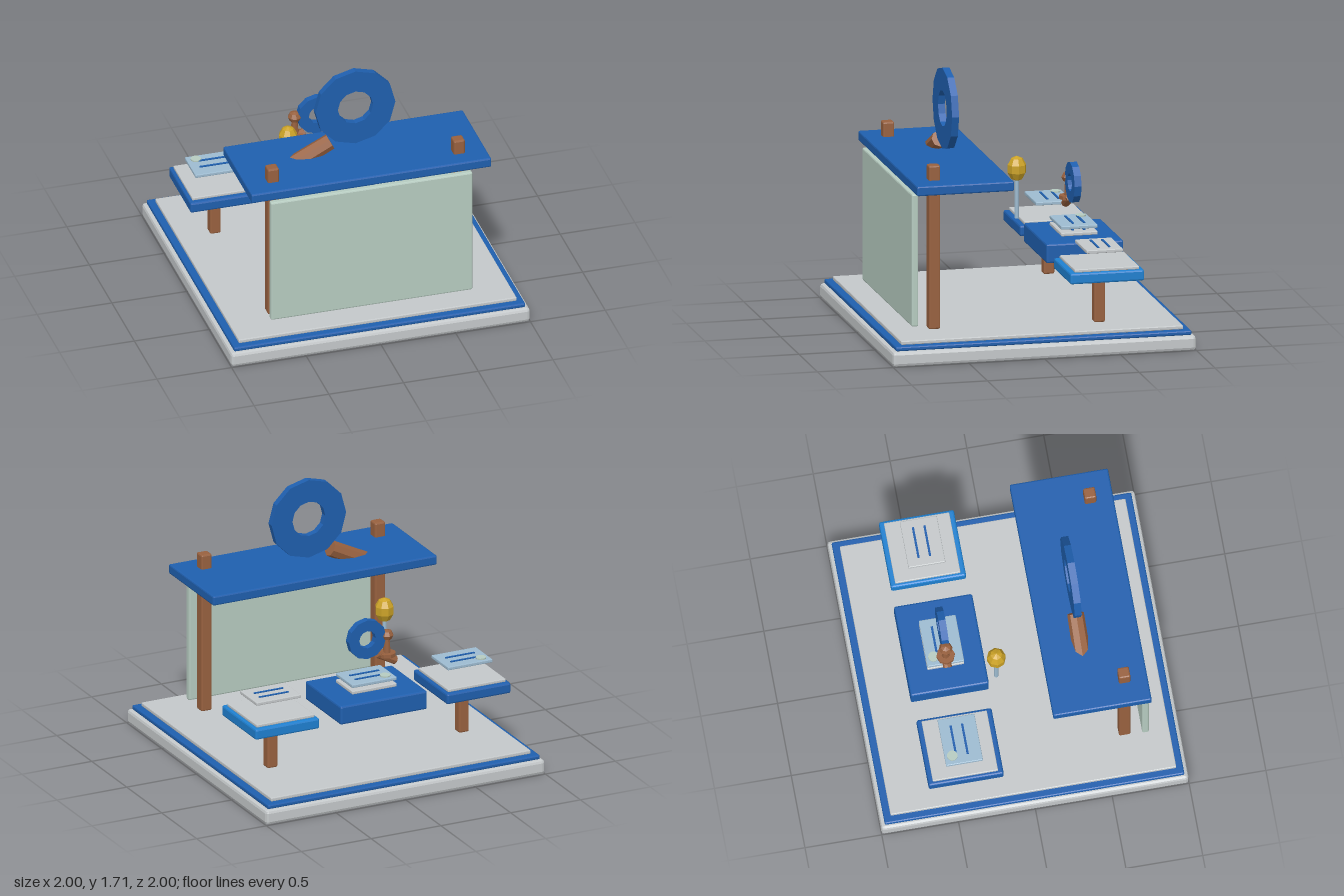
import * as THREE from 'three';
import { RoundedBoxGeometry } from 'three/addons/geometries/RoundedBoxGeometry.js';

const mat = (name, color) => {
  const m = new THREE.MeshStandardMaterial({ color });
  m.name = name;
  return m;
};

export function createModel() {
  const grey = mat('pale grey', 0xc4c8ca);
  const blue = mat('deep blue', 0x1f5fae);
  const brightBlue = mat('bright blue', 0x1f80d0);
  const wood = mat('brown wood', 0x98613f);
  const green = mat('pale green', 0xb6cbc0);
  const glass = mat('pale blue', 0x9dbbd0);
  const gold = mat('gold', 0xcba227);

  const root = new THREE.Group();
  root.name = 'exhibitBooth';

  // Faceted mesh helper
  const add = (name, geometry, material, x, y, z, parent = root) => {
    const g = geometry.index ? geometry.toNonIndexed() : geometry;
    g.computeVertexNormals();
    const mesh = new THREE.Mesh(g, material);
    mesh.name = name;
    mesh.position.set(x, y, z);
    parent.add(mesh);
    return mesh;
  };
  // Chamfered box, placed by its bottom and top heights
  const block = (name, material, w, d, y0, y1, x, z, bevel = 0.01, parent = root) =>
    add(name, new RoundedBoxGeometry(w, y1 - y0, d, 1, Math.min(bevel, (y1 - y0) * 0.3, w * 0.3, d * 0.3)),
      material, x, (y0 + y1) / 2, z, parent);

  // Stepped plinth
  block('base', grey, 2, 2, 0, 0.097, 0, 0, 0.02);
  block('baseTrim', blue, 1.95, 1.95, 0.097, 0.127, 0, 0);
  block('floor', grey, 1.86, 1.86, 0.127, 0.153, 0, 0, 0.006);

  // Front counter panel, posts and roof
  block('frontPanel', green, 1.35, 0.044, 0.18, 1.052, 0, 0.776);
  for (const s of [-1, 1]) block('roofPost', wood, 0.075, 0.075, 0.153, 1.23, s * 0.622, 0.643);
  block('roof', blue, 1.605, 0.64, 1.068, 1.133, 0, 0.473);

  // Magnifier: twelve-sided ring with an angled handle
  const ringPoints = (r) => Array.from({ length: 12 }, (_, i) =>
    new THREE.Vector2(r * Math.cos(i * Math.PI / 6), r * Math.sin(i * Math.PI / 6)));
  const magnifier = (name, s, x, y, z) => {
    const group = new THREE.Group();
    group.name = name;
    group.position.set(x, y, z);
    const shape = new THREE.Shape(ringPoints(0.267 * s));
    shape.holes.push(new THREE.Path(ringPoints(0.118 * s)));
    add('lensRing', new THREE.ExtrudeGeometry(shape, { depth: 0.046, bevelEnabled: false }),
      blue, 0, 0, -0.023, group);
    const handle = add('lensHandle', new THREE.CylinderGeometry(0.054 * s, 0.057 * s, 0.285 * s, 8),
      wood, -0.29 * s, -0.303 * s, 0, group);
    handle.rotation.z = -1.1;
    root.add(group);
  };
  magnifier('roofMagnifier', 1, 0, 1.445, 0.41);
  magnifier('deskMagnifier', 0.5, 0, 0.91, -0.43);

  // Card with two printed lines and an optional round seal
  const card = (name, material, x, y, seal) => {
    block(name, material, 0.32, 0.24, y, y + 0.023, x, -0.433, 0.005);
    for (const z of [-0.478, -0.403])
      add('printedLine', new THREE.BoxGeometry(0.21, 0.006, 0.014), blue, x, y + 0.026, z);
    if (seal) add('seal', new THREE.CylinderGeometry(0.035, 0.035, 0.009, 10), green, x - 0.1, y + 0.0275, -0.503);
  };

  // Side stands
  for (const s of [-1, 1]) {
    const x = s * 0.686;
    block('standLeg', wood, 0.072, 0.072, 0.153, 0.465, x, -0.43);
    block('standTray', s > 0 ? brightBlue : blue, 0.458, 0.488, 0.458, 0.53, x, -0.434, 0.012);
    block('standTop', grey, 0.415, 0.425, 0.53, 0.551, x, -0.436, 0.005);
    card('standCard', s > 0 ? grey : glass, x, 0.638, s < 0);
  }

  // Centre desk with two stacked cards
  block('deskTray', blue, 0.622, 0.508, 0.458, 0.585, 0, -0.433, 0.012);
  card('lowerCard', grey, 0, 0.594, false);
  card('upperCard', glass, 0, 0.638, true);

  // Hand stamp
  const stamp = new THREE.Group();
  stamp.name = 'handStamp';
  stamp.position.set(-0.147, 0, -0.432);
  root.add(stamp);
  add('stampFoot', new THREE.CylinderGeometry(0.06, 0.06, 0.024, 8), wood, 0, 0.78, 0, stamp);
  add('stampStem', new THREE.CylinderGeometry(0.02, 0.026, 0.11, 8), wood, 0, 0.845, 0, stamp);
  add('stampKnob', new THREE.SphereGeometry(0.045, 8, 4), wood, 0, 0.912, 0, stamp).scale.y = 0.85;

  // Microphone-like wand: slim stick and faceted head
  add('wandStick', new THREE.CylinderGeometry(0.014, 0.014, 0.26, 8), glass, -0.283, 0.755, -0.127);
  add('wandHead', new THREE.SphereGeometry(0.064, 8, 5), gold, -0.283, 0.952, -0.127).scale.y = 1.3;

  return root;
}
